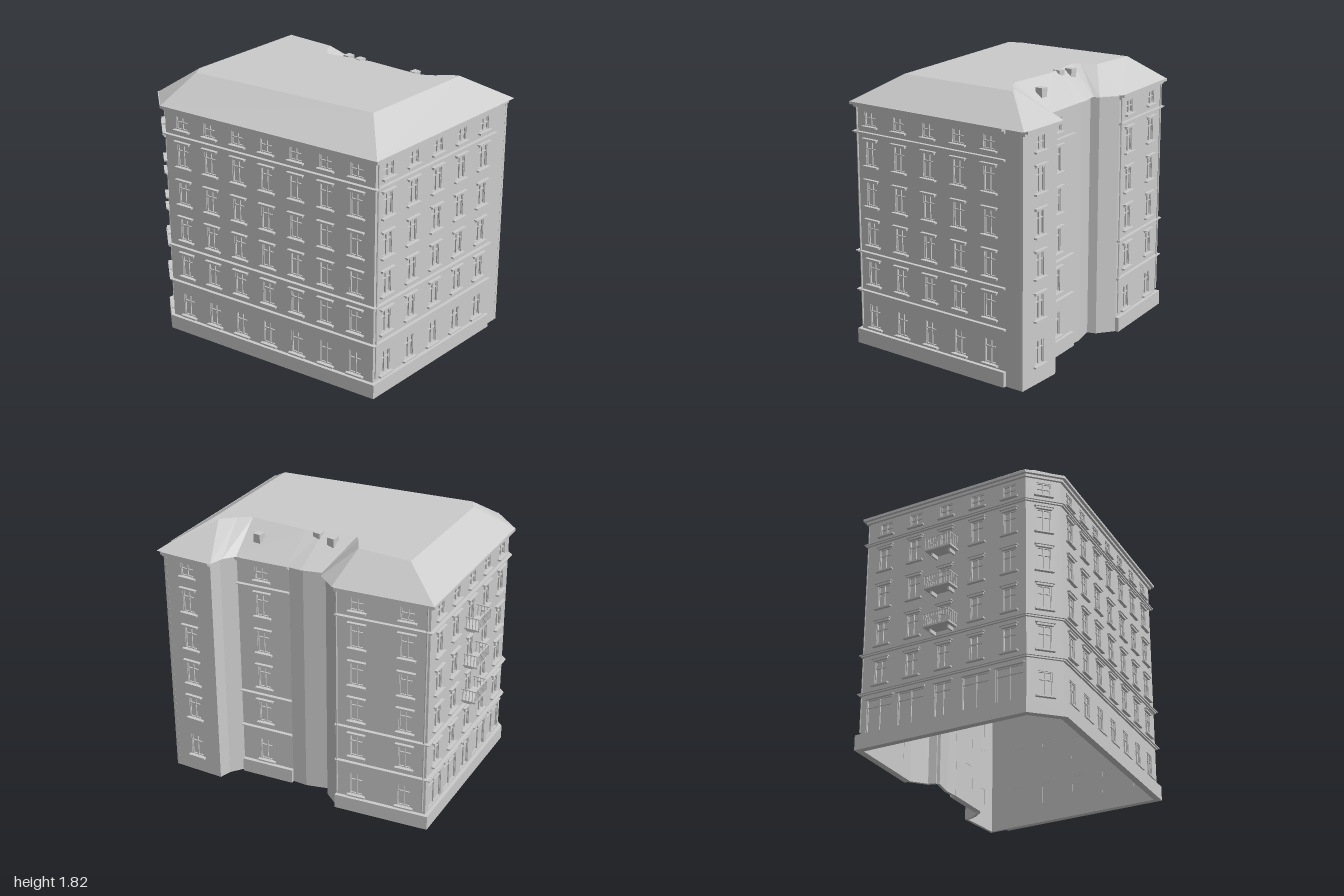
import * as THREE from 'three';

const mat = new THREE.MeshStandardMaterial({ color: 0xcccccc, flatShading: true, side: THREE.DoubleSide });

// Footprint corners [x, z], running along the front, up the right side and round the back
const A = [-0.5, 0.95], B = [0.84, 0.845], C = [0.8, 0.495], C1 = [0.72, 0.48], D = [0.625, 0.42],
  E = [0.555, 0.06], F = [0.545, -0.04], G = [0.49, -0.19], G1 = [0.545, -0.215], H = [0.615, -0.335],
  I = [0.485, -0.945], J = [-0.7, -0.81], K = [-0.835, -0.62], FRONT_STOP = [0.71, 0.855];
const OUTLINE = [A, B, C, C1, D, E, F, G, G1, H, I, J, K];
// Edge of the flat roof top, one point for each footprint corner
const ROOF_TOP = [[-0.29, 0.72], [0.58, 0.65], [0.56, 0.61], [0.47, 0.53], [0.41, 0.45], [0.37, 0.06],
  [0.34, -0.05], [0.27, -0.26], [0.31, -0.3], [0.4, -0.36], [0.37, -0.72], [-0.53, -0.63], [-0.6, -0.58]];

const WALL_TOP = 1.63, EAVE = 1.64, RIDGE = 1.81, THICK = 0.02;

// Storeys: opening bottom, top, and whether a lintel sits above
const STOREYS = [[0.125, 0.285, false], [0.425, 0.585, true], [0.695, 0.855, true],
  [0.96, 1.12, true], [1.23, 1.39, true], [1.49, 1.58, false]];

function add(parent, geometry, name, x = 0, y = 0, z = 0) {
  const mesh = new THREE.Mesh(geometry, mat);
  mesh.name = name;
  mesh.position.set(x, y, z);
  parent.add(mesh);
  return mesh;
}
const box = (parent, name, w, h, d, x, y, z) => add(parent, new THREE.BoxGeometry(w, h, d), name, x, y, z);

// Moves a path outwards by a distance with mitred corners
function offset(path, dist, closed) {
  const n = path.length;
  const normal = (p, q) => {
    const l = Math.hypot(q[0] - p[0], q[1] - p[1]);
    return [-(q[1] - p[1]) / l, (q[0] - p[0]) / l];
  };
  return path.map((p, i) => {
    const hasPrev = closed || i > 0, hasNext = closed || i < n - 1;
    const a = hasPrev ? normal(path[(i + n - 1) % n], p) : normal(p, path[i + 1]);
    const b = hasNext ? normal(p, path[(i + 1) % n]) : a;
    const k = dist / Math.max(0.5, 1 + a[0] * b[0] + a[1] * b[1]);
    return [p[0] + (a[0] + b[0]) * k, p[1] + (a[1] + b[1]) * k];
  });
}

// Horizontal moulding that follows a run of walls
function ledge(parent, name, path, y0, y1, out) {
  const ring = [...offset(path, out, false), ...offset(path, -0.005, false).reverse()];
  const shape = new THREE.Shape(ring.map(([x, z]) => new THREE.Vector2(x, -z)));
  const geo = new THREE.ExtrudeGeometry(shape, { depth: y1 - y0, bevelEnabled: false });
  add(parent, geo.rotateX(-Math.PI / 2), name, 0, y0, 0);
}

// Recessed pane with glazing bars, set into an opening
function glazing(g, name, x, w, y0, y1, bars, transom) {
  const h = y1 - y0, y = (y0 + y1) / 2;
  box(g, name + 'Pane', w, h, 0.004, x, y, -0.016);
  for (const s of [-1, 1]) {
    box(g, name + 'Jamb', 0.006, h, 0.01, x + s * (w / 2 - 0.003), y, -0.01);
    box(g, name + 'Rail', w, 0.006, 0.01, x, y + s * (h / 2 - 0.003), -0.01);
  }
  for (let i = 1; i <= bars; i++) box(g, name + 'Mullion', 0.007, h, 0.01, x - w / 2 + w * i / (bars + 1), y, -0.01);
  box(g, name + 'Transom', w, 0.007, 0.01, x, y0 + h * transom, -0.01);
}

// Balcony with slab, brackets and railing
function balcony(parent, x, y) {
  const g = new THREE.Group();
  g.name = 'balcony';
  g.position.set(x, y, 0);
  parent.add(g);
  const w = 0.19, d = 0.1, h = 0.085;
  box(g, 'balconySlab', w, 0.012, d, 0, 0, d / 2);
  box(g, 'frontRail', w, 0.006, 0.006, 0, h, d - 0.004);
  for (let i = 0; i <= 10; i++) box(g, 'baluster', 0.004, h, 0.004, (i / 10 - 0.5) * (w - 0.006), h / 2, d - 0.004);
  for (const s of [-1, 1]) {
    const sx = s * (w / 2 - 0.003);
    box(g, 'sideRail', 0.006, 0.006, d, sx, h, d / 2);
    for (let i = 0; i < 4; i++) box(g, 'baluster', 0.004, h, 0.004, sx, h / 2, 0.01 + i * 0.022);
    box(g, 'bracket', 0.012, 0.025, 0.06, s * 0.065, -0.018, 0.03);
  }
}

// One straight wall; local x runs along it and local z points outwards
function wall(parent, name, p, q, columns = [], shopfront = false) {
  const g = new THREE.Group();
  g.name = name;
  const dx = q[0] - p[0], dz = q[1] - p[1], length = Math.hypot(dx, dz);
  g.position.set(p[0], 0, p[1]);
  g.rotation.y = Math.atan2(-dz, dx);
  parent.add(g);

  const shape = new THREE.Shape([[0, 0], [length, 0], [length, WALL_TOP], [0, WALL_TOP]].map(v => new THREE.Vector2(...v)));
  const hole = (x, w, y0, y1) => shape.holes.push(new THREE.Path(
    [[x - w / 2, y0], [x - w / 2, y1], [x + w / 2, y1], [x + w / 2, y0]].map(v => new THREE.Vector2(...v))));

  columns.forEach((x, c) => STOREYS.forEach(([y0, y1, lintel], s) => {
    if (shopfront && s === 0) {
      // Shop windows either side of a central door
      const door = c === 2, w = door ? 0.12 : 0.19;
      hole(x, w, 0.11, 0.33);
      glazing(g, door ? 'door' : 'shopWindow', x, w, 0.11, 0.33, 1, 0.76);
      box(g, 'shopLintel', w + 0.02, 0.012, 0.012, x, 0.336, 0.006);
      return;
    }
    const w = s === 5 ? 0.095 : 0.09;
    hole(x, w, y0, y1);
    glazing(g, 'window', x, w, y0, y1, 1, s === 5 ? 0.55 : 0.68);
    box(g, 'sill', 0.125, 0.011, 0.024, x, y0 - 0.006, 0.01);
    if (lintel) {
      box(g, 'lintel', 0.108, 0.014, 0.014, x, y1 + 0.007, 0.006);
      box(g, 'lintelCap', 0.125, 0.007, 0.024, x, y1 + 0.016, 0.01);
    }
    if (shopfront && c === 2 && s >= 2 && s <= 4) balcony(g, x, y0 - 0.008);
  }));
  add(g, new THREE.ExtrudeGeometry(shape, { depth: THICK, bevelEnabled: false }), 'wallFace', 0, 0, -THICK);
  return g;
}

// Sloped roof sides between the eaves and the flat top
function roof(parent) {
  const eave = offset(OUTLINE, 0.03, true), n = eave.length, pos = [];
  const put = (p, y) => pos.push(p[0], y, p[1]);
  for (let i = 0; i < n; i++) {
    const j = (i + 1) % n;
    put(eave[i], EAVE); put(eave[j], EAVE); put(ROOF_TOP[j], RIDGE);
    put(eave[i], EAVE); put(ROOF_TOP[j], RIDGE); put(ROOF_TOP[i], RIDGE);
  }
  const flat = ROOF_TOP.map(([x, z]) => new THREE.Vector2(x, -z));
  for (const tri of THREE.ShapeUtils.triangulateShape(flat, [])) tri.forEach(k => put(ROOF_TOP[k], RIDGE));
  const geo = new THREE.BufferGeometry();
  geo.setAttribute('position', new THREE.Float32BufferAttribute(pos, 3));
  geo.computeVertexNormals();
  add(parent, geo, 'roof');
  // Small chimneys on the courtyard slope
  for (const [x, y, z] of [[0.36, 1.78, -0.14], [0.355, 1.785, -0.03], [0.515, 1.745, 0.32]])
    box(parent, 'chimney', 0.055, 0.06, 0.05, x, y, z);
}

export function createModel() {
  const model = new THREE.Group();
  model.name = 'cornerApartmentBuilding';
  const row = (count, start, step) => Array.from({ length: count }, (_, i) => start + i * step);

  // Walls
  const front = wall(model, 'frontWall', A, B, row(5, 0.12, 0.243));
  wall(model, 'wingSideWall', B, C, [0.175]);
  wall(model, 'wingReturnWall', C, C1);
  wall(model, 'wingReturnWall', C1, D);
  wall(model, 'courtWall', D, E, [0.173]);
  wall(model, 'courtNicheWall', E, F);
  wall(model, 'courtNicheWall', F, G);
  wall(model, 'courtNicheWall', G, G1);
  wall(model, 'courtNicheWall', G1, H);
  const side = wall(model, 'rearSideWall', H, I, [0.145, 0.475]);
  wall(model, 'backWall', I, J, row(5, 0.136, 0.235), true);
  wall(model, 'chamferWall', J, K, [0.117]);
  wall(model, 'streetSideWall', K, A, row(7, 0.135, 0.223));

  // Plinth, string courses and cornice
  const street = [H, I, J, K, A, FRONT_STOP], court = [D, E];
  for (const path of [street, court]) {
    ledge(model, 'plinth', path, 0, 0.1, 0.025);
    for (const y of [0.37, 0.638, 1.44]) {
      ledge(model, 'stringCourse', path, y - 0.006, y + 0.003, 0.014);
      ledge(model, 'stringCourseCap', path, y + 0.003, y + 0.009, 0.024);
    }
  }
  for (const path of [street, court, [B, C]]) {
    ledge(model, 'corniceBed', path, 1.605, 1.622, 0.016);
    ledge(model, 'cornice', path, 1.622, EAVE, 0.035);
  }

  // Downpipes
  for (const [g, x] of [[front, 0.015], [side, 0.012], [side, 0.607]])
    add(g, new THREE.CylinderGeometry(0.006, 0.006, 1.49, 8), 'downpipe', x, 0.875, 0.012);

  roof(model);
  return model;
}
